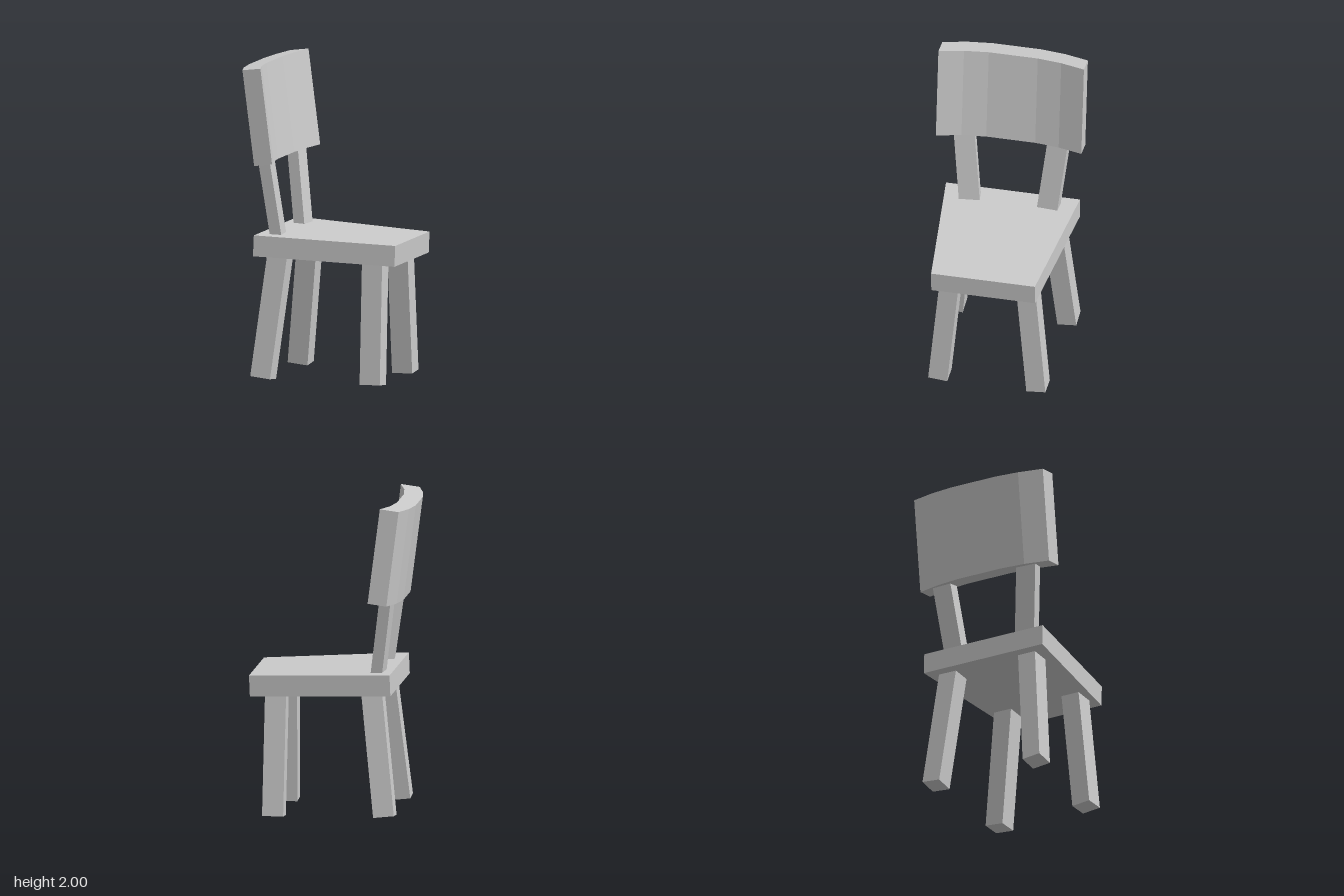
import * as THREE from 'three';

const material = new THREE.MeshStandardMaterial({ color: 0xcccccc, flatShading: true });

function add(group, name, geometry) {
  const mesh = new THREE.Mesh(geometry, material);
  mesh.name = name;
  group.add(mesh);
  return mesh;
}

// Square-cut bar whose end faces are centred on the points a and b
function bar(group, name, a, b, sizeX, sizeZ, yaw = 0) {
  const start = new THREE.Vector3(...a), end = new THREE.Vector3(...b);
  const axis = end.clone().sub(start);
  const geometry = new THREE.BoxGeometry(sizeX, axis.length(), sizeZ).rotateY(yaw);
  const mesh = add(group, name, geometry);
  mesh.quaternion.setFromUnitVectors(new THREE.Vector3(0, 1, 0), axis.normalize());
  mesh.position.copy(start).add(end).multiplyScalar(0.5);
}

// Outline in (x, z) extruded upwards from y = 0
function slab(points, height) {
  const shape = new THREE.Shape(points.map(([x, z]) => new THREE.Vector2(x, -z)));
  return new THREE.ExtrudeGeometry(shape, { depth: height, bevelEnabled: false }).rotateX(-Math.PI / 2);
}

export function createModel() {
  const chair = new THREE.Group();
  chair.name = 'chair';

  // Seat: trapezoid, narrower at the open edge and sloping slightly down
  const seat = add(chair, 'seat', slab([[0, 0.43], [0.906, 0.333], [0.906, -0.333], [0, -0.43]], 0.133));
  seat.position.set(-0.397, 0.803, 0);
  seat.rotation.z = -0.042;

  // Backrest: shallow faceted curve, leaning back
  const curve = [[0.065, -0.467], [0.021, -0.312], [0, -0.157], [0, 0.157], [0.021, 0.312], [0.065, 0.467]];
  const outline = [...curve, ...curve.map(([x, z]) => [x + 0.12, z]).reverse()];
  const backrest = add(chair, 'backrest', slab(outline, 0.609));
  backrest.position.set(-0.441, 1.373, 0);
  backrest.rotation.z = 0.128;

  // Splayed legs
  bar(chair, 'frontLegLeft', [0.357, 0.007, 0.31], [0.347, 0.85, 0.23], 0.134, 0.123);
  bar(chair, 'frontLegRight', [0.357, 0.007, -0.32], [0.347, 0.85, -0.247], 0.134, 0.123);
  bar(chair, 'backLegLeft', [-0.353, 0.027, 0.361], [-0.26, 0.87, 0.271], 0.132, 0.122);
  bar(chair, 'backLegRight', [-0.353, 0.027, -0.367], [-0.26, 0.87, -0.288], 0.132, 0.122);

  // Posts between seat and backrest, turned to follow the curve
  bar(chair, 'postLeft', [-0.283, 0.87, 0.25], [-0.385, 1.65, 0.326], 0.073, 0.132, 0.1);
  bar(chair, 'postRight', [-0.289, 0.87, -0.243], [-0.391, 1.65, -0.331], 0.073, 0.132, -0.08);

  return chair;
}
